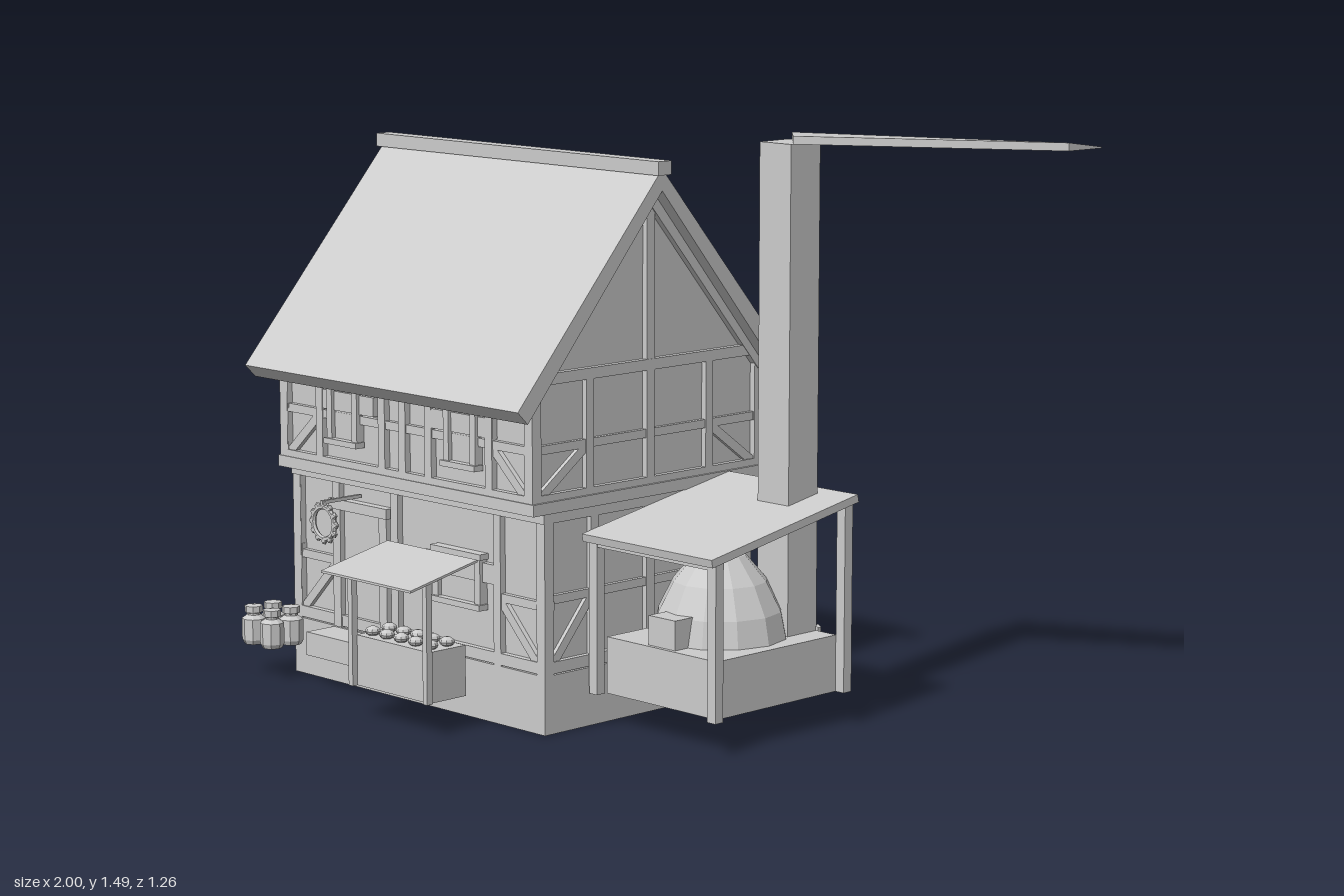
import * as THREE from 'three';

export function createModel() {
  const model = new THREE.Group();
  const grey = new THREE.MeshStandardMaterial({ color: 0xcccccc });
  grey.name = 'plainGrey';
  grey.flatShading = true;

  const add = (name, geo, parent = model) => {
    const m = new THREE.Mesh(geo, grey);
    m.name = name;
    parent.add(m);
    return m;
  };
  // axis-aligned box from its limits
  const box = (name, x0, x1, y0, y1, z0, z1, parent = model) => {
    const m = add(name, new THREE.BoxGeometry(x1 - x0, y1 - y0, z1 - z0), parent);
    m.position.set((x0 + x1) / 2, (y0 + y1) / 2, (z0 + z1) / 2);
    return m;
  };
  // z,y outline pulled along x
  const alongX = (name, pts, x0, x1) => {
    const s = new THREE.Shape(pts.map(([z, y]) => new THREE.Vector2(-z, y)));
    const g = new THREE.ExtrudeGeometry(s, { depth: x1 - x0, bevelEnabled: false });
    g.rotateY(Math.PI / 2);
    g.translate(x0, 0, 0);
    return add(name, g);
  };
  const group = (name, x = 0, y = 0, z = 0, ry = 0) => {
    const g = new THREE.Group();
    g.name = name;
    g.position.set(x, y, z);
    g.rotation.y = ry;
    model.add(g);
    return g;
  };
  // timber between two points of a wall plane; its outer face lies at local z = out
  const beam = (g, u0, v0, u1, v1, w = 0.028, out = 0, name = 'timber') => {
    const m = add(name, new THREE.BoxGeometry(w, Math.hypot(u1 - u0, v1 - v0), 0.03), g);
    m.position.set((u0 + u1) / 2, (v0 + v1) / 2, out - 0.015);
    m.rotation.z = -Math.atan2(u1 - u0, v1 - v0);
  };

  // House body
  const CX = -0.4325, CZ = -0.03;
  box('foundation', -0.92, 0.055, 0, 0.15, -0.395, 0.337);
  box('lowerWalls', -0.905, 0.04, 0.15, 0.57, -0.38, 0.32);
  alongX('upperWalls', [[0.36, 0.56], [0.36, 0.88], [CZ, 1.33], [-0.42, 0.88], [-0.42, 0.56]], -0.905, 0.04);
  box('floorBand', -0.927, 0.062, 0.56, 0.59, -0.437, 0.38);
  box('floorBandLower', -0.922, 0.057, 0.535, 0.56, -0.397, 0.34);

  // Roof
  alongX('roof', [[0.46, 0.833], [CZ, 1.39], [-0.515, 0.833], [-0.482, 0.8], [CZ, 1.335], [0.427, 0.8]], -0.96, 0.095);
  box('ridgeCap', -0.97, 0.105, 1.375, 1.41, -0.052, -0.007);

  // Corner posts, sill, knee braces and end rails shared by each storey of each wall
  const storey = (g, half, y0, y1, mid, bay) => {
    for (const s of [-1, 1]) {
      beam(g, s * (half - 0.014), y0, s * (half - 0.014), y1, 0.03);
      beam(g, s * (half - 0.03), y0 + 0.025, s * (half - bay), mid, 0.024, -0.004, 'brace');
      beam(g, s * half, mid, s * (half - bay), mid, 0.022, -0.003, 'rail');
      beam(g, s * (half - bay), y0, s * (half - bay), y1, 0.026);
    }
    beam(g, -half, y0 + 0.018, half, y0 + 0.018, 0.03, 0, 'sill');
  };

  // Side walls and gables
  for (const s of [-1, 1]) {
    const g = group(s > 0 ? 'leftWallFrame' : 'rightWallFrame', s > 0 ? 0.055 : -0.92, 0, CZ, s * Math.PI / 2);
    storey(g, 0.365, 0.15, 0.555, 0.34, 0.17);
    storey(g, 0.405, 0.575, 0.885, 0.72, 0.195);
    beam(g, 0, 0.15, 0, 0.555);
    beam(g, 0, 0.59, 0, 1.33);
    beam(g, -0.365, 0.34, 0.365, 0.34, 0.022, -0.003, 'rail');
    beam(g, -0.405, 0.72, 0.405, 0.72, 0.022, -0.003, 'rail');
    beam(g, -0.4, 0.895, 0.4, 0.895, 0.028, 0.002, 'tieBeam');
    for (const t of [-1, 1]) beam(g, t * 0.4, 0.855, 0, 1.32, 0.035, 0.003, 'rafter');
  }

  // Front wall
  const frontLow = group('frontLowerFrame', CX, 0, 0.337);
  storey(frontLow, 0.4875, 0.15, 0.555, 0.325, 0.175);
  beam(frontLow, -0.08, 0.15, -0.08, 0.555);
  const frontUp = group('frontUpperFrame', CX, 0, 0.377);
  storey(frontUp, 0.4875, 0.575, 0.885, 0.72, 0.16);
  for (const u of [-0.08, 0, 0.1]) beam(frontUp, u, 0.58, u, 0.885, 0.026);
  beam(frontUp, -0.4875, 0.72, 0.4875, 0.72, 0.022, -0.003, 'rail');

  // Back wall
  const backLow = group('backLowerFrame', CX, 0, -0.395, Math.PI);
  storey(backLow, 0.4875, 0.15, 0.555, 0.34, 0.16);
  for (const s of [-1, 1]) beam(backLow, s * 0.17 - 0.065, 0.34, s * 0.17 + 0.065, 0.34, 0.022, 0, 'shortRail');
  const backUp = group('backUpperFrame', CX, 0, -0.435, Math.PI);
  storey(backUp, 0.4875, 0.575, 0.885, 0.72, 0.165);
  for (const u of [-0.16, 0, 0.16]) beam(backUp, u, 0.58, u, 0.885, 0.026);
  beam(backUp, -0.4875, 0.72, 0.4875, 0.72, 0.022, -0.003, 'rail');

  // Windows: pane, four frame bars and a wide board behind
  const window_ = (x, y0, y1, z, half) => {
    const g = group('window', x, 0, z);
    box('windowPane', -half, half, y0, y1, -0.02, -0.004, g);
    for (const s of [-1, 1]) beam(g, s * half, y0, s * half, y1, 0.02, 0.008, 'windowJamb');
    beam(g, -half - 0.015, y1, half + 0.015, y1, 0.015, 0.012, 'windowHead');
    beam(g, -half - 0.015, y0, half + 0.015, y0, 0.015, 0.016, 'windowSill');
    box('windowBoard', -half - 0.065, half + 0.065, y1 - 0.065, y1 - 0.015, -0.02, -0.001, g);
  };
  window_(-0.66, 0.655, 0.8, 0.377, 0.05);
  window_(-0.205, 0.655, 0.8, 0.377, 0.05);
  window_(-0.265, 0.29, 0.42, 0.337, 0.08);

  // Door with jambs, lintel and step
  box('door', -0.73, -0.57, 0.15, 0.465, 0.31, 0.325);
  for (const x of [-0.755, -0.57]) box('doorJamb', x, x + 0.03, 0.15, 0.47, 0.31, 0.34);
  box('doorLintel', -0.765, -0.535, 0.465, 0.492, 0.31, 0.345);
  box('doorStep', -0.76, -0.55, 0.085, 0.147, 0.33, 0.43);

  // Hanging wreath sign on a bracket
  box('signBracket', -0.66, -0.65, 0.505, 0.514, 0.33, 0.46);
  const sign = group('wreathSign', -0.655, 0.455, 0.452);
  add('wreathRing', new THREE.TorusGeometry(0.042, 0.007, 6, 20), sign);
  for (let i = 0; i < 12; i++) {
    const a = i * Math.PI / 6;
    const b = add('wreathKnot', new THREE.IcosahedronGeometry(0.011, 0), sign);
    b.position.set(Math.cos(a) * 0.047, Math.sin(a) * 0.047, 0);
    b.scale.z = 0.7;
  }

  // Market stall with awning and goods
  box('stallCounter', -0.415, -0.135, 0.085, 0.215, 0.43, 0.55);
  for (const x of [-0.427, -0.142]) box('stallPost', x, x + 0.016, 0.085, 0.402, 0.548, 0.566);
  alongX('awning', [[0.635, 0.382], [0.635, 0.388], [0.415, 0.434], [0.415, 0.428]], -0.447, -0.105);
  for (let i = 0; i < 5; i++) for (const z of [0.465, 0.52]) {
    const b = add('bun', new THREE.SphereGeometry(0.02, 8, 6));
    b.scale.y = 0.65;
    b.position.set(-0.385 + i * 0.055, 0.225, z);
  }

  // Jars beside the house
  const jarProfile = [[0, 0], [0.026, 0], [0.032, 0.012], [0.032, 0.068], [0.018, 0.078], [0.018, 0.083],
    [0.024, 0.085], [0.024, 0.102], [0, 0.105]].map(([r, y]) => new THREE.Vector2(r, y));
  for (const [x, z] of [[-0.966, 0.375], [-0.966, 0.44], [-0.89, 0.44], [-0.89, 0.375]]) {
    add('jar', new THREE.LatheGeometry(jarProfile, 8)).position.set(x, 0.085, z);
  }

  // Oven shelter: hearth, four posts and lean-to roof
  box('hearth', 0.09, 0.475, 0.085, 0.23, -0.27, 0.157);
  for (const x of [0.06, 0.475]) {
    box('shelterPost', x, x + 0.028, 0.085, 0.492, 0.163, 0.19);
    box('shelterPost', x, x + 0.028, 0.085, 0.57, -0.296, -0.268);
  }
  box('shelterFrontBeam', 0.06, 0.503, 0.462, 0.482, 0.166, 0.188);
  alongX('shelterRoof', [[0.208, 0.475], [0.212, 0.495], [-0.306, 0.588], [-0.31, 0.568]], 0.057, 0.51);

  // Faceted oven dome and its mouth
  const domeProfile = [[0.172, 0], [0.158, 0.07], [0.12, 0.145], [0.065, 0.21], [0.025, 0.228], [0, 0.23]]
    .map(([r, y]) => new THREE.Vector2(r, y));
  add('ovenDome', new THREE.LatheGeometry(domeProfile, 12)).position.set(0.273, 0.228, -0.058);
  box('ovenMouth', 0.227, 0.32, 0.228, 0.305, 0.04, 0.146);

  // Chimney and the flat smoke vane on top
  box('chimney', 0.3, 0.406, 0.225, 1.463, -0.27, -0.165);
  const vane = new THREE.BufferGeometry();
  vane.setAttribute('position', new THREE.Float32BufferAttribute([
    0.29, 1.478, -0.29, 0.42, 1.485, -0.157, 1, 1.485, -0.505, 1, 1.467, -0.63,
    0.29, 1.465, -0.29, 0.42, 1.465, -0.157, 1, 1.465, -0.505, 1, 1.464, -0.63], 3));
  vane.setIndex([0, 1, 2, 0, 2, 3, 4, 6, 5, 4, 7, 6, 0, 4, 5, 0, 5, 1,
    1, 5, 6, 1, 6, 2, 2, 6, 7, 2, 7, 3, 3, 7, 4, 3, 4, 0]);
  const flat = vane.toNonIndexed();
  flat.computeVertexNormals();
  add('smokeVane', flat);

  // Stacked log ends behind the shelter
  const logGeo = new THREE.CylinderGeometry(0.0125, 0.0125, 0.012, 6);
  logGeo.rotateX(Math.PI / 2);
  for (let r = 0; r < 6; r++) for (let c = 0; c < 10; c++) {
    add('logEnd', logGeo).position.set(0.117 + c * 0.0255 + (r % 2) * 0.0125, 0.1 + r * 0.0235, -0.321);
  }
  return model;
}
